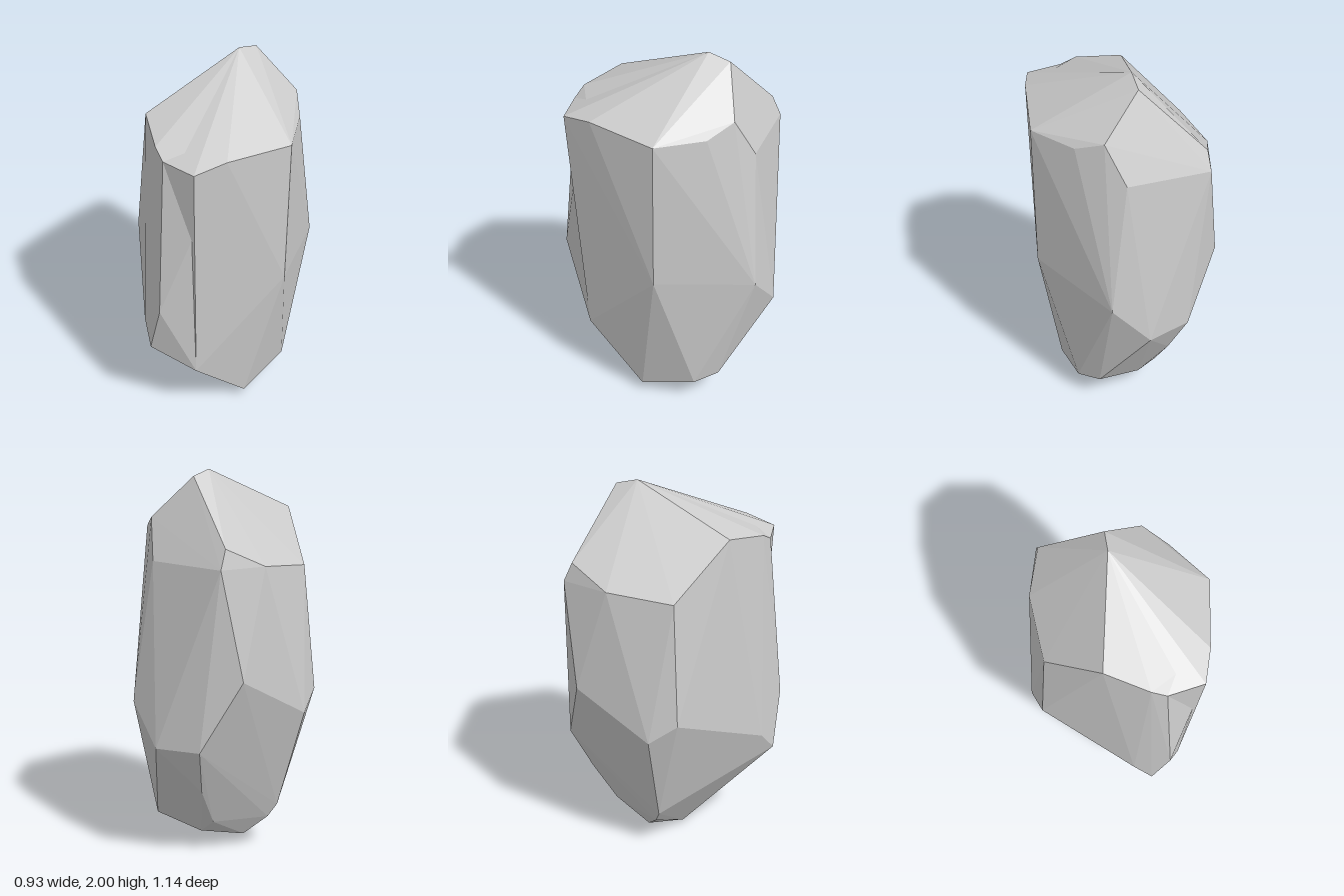
import * as THREE from 'three';
import { ConvexGeometry } from 'three/addons/geometries/ConvexGeometry.js';

// Corners shared by the main stone and its front ridge
const peak = [0.08, 2, -0.15];
const frontLeftRim = [-0.17, 1.7, 0.48];
const frontRim = [0.14, 1.73, 0.47];
const sideRim = [0.41, 1.7, 0.22];
const notchFoot = [0, 1.35, 0.53];
const sideWaist = [0.4, 0.88, 0.22];
const chin = [-0.02, 0.37, 0.48];

const bodyCorners = [
  // slanted top
  peak, [0.15, 1.97, -0.24], [-0.32, 1.78, 0.2], [-0.22, 1.74, 0.42],
  frontLeftRim, frontRim, sideRim, [0.37, 1.76, -0.2], [0.41, 1.7, -0.05],
  // shoulders at the back and sides
  [-0.03, 1.64, -0.53], [-0.01, 1.54, -0.57], [-0.22, 1.54, -0.41],
  [-0.41, 1.51, -0.12], [0.35, 1.55, -0.32],
  // waist
  notchFoot, [-0.19, 0.82, 0.56], [-0.31, 0.63, 0.41], [-0.26, 0.52, 0.5],
  [-0.47, 0.86, -0.12], [-0.42, 0.76, -0.26], [-0.12, 0.98, -0.55],
  [0.1, 0.61, -0.54], [0.33, 0.61, -0.46], [0.46, 0.82, -0.31], sideWaist,
  // tapering foot
  chin, [0.2, 0.05, 0.24], [0.37, 0.14, -0.01], [0.36, 0.17, -0.15],
  [0.1, 0.37, -0.42], [0.05, 0.17, -0.3], [0.12, 0.1, -0.24],
  [-0.31, 0.4, -0.08], [-0.28, 0.23, -0.16], [-0.23, 0.16, -0.16],
  [-0.1, 0.06, -0.16], [-0.07, 0.02, 0.05], [0, 0, 0.1],
];

// Front ridge that overhangs the shallow notch
const ridgeCorners = [
  [0, 1.7, 0.57], notchFoot, frontLeftRim, frontRim, sideRim, sideWaist, chin, peak,
];

export function createModel() {
  const group = new THREE.Group();
  group.name = 'rock';
  const material = new THREE.MeshStandardMaterial({ color: 0xcccccc, flatShading: true });
  const addStone = (name, corners) => {
    const points = corners.map((c) => new THREE.Vector3(...c));
    const mesh = new THREE.Mesh(new ConvexGeometry(points), material);
    mesh.name = name;
    group.add(mesh);
  };
  addStone('mainStone', bodyCorners);
  addStone('frontRidge', ridgeCorners);
  return group;
}
